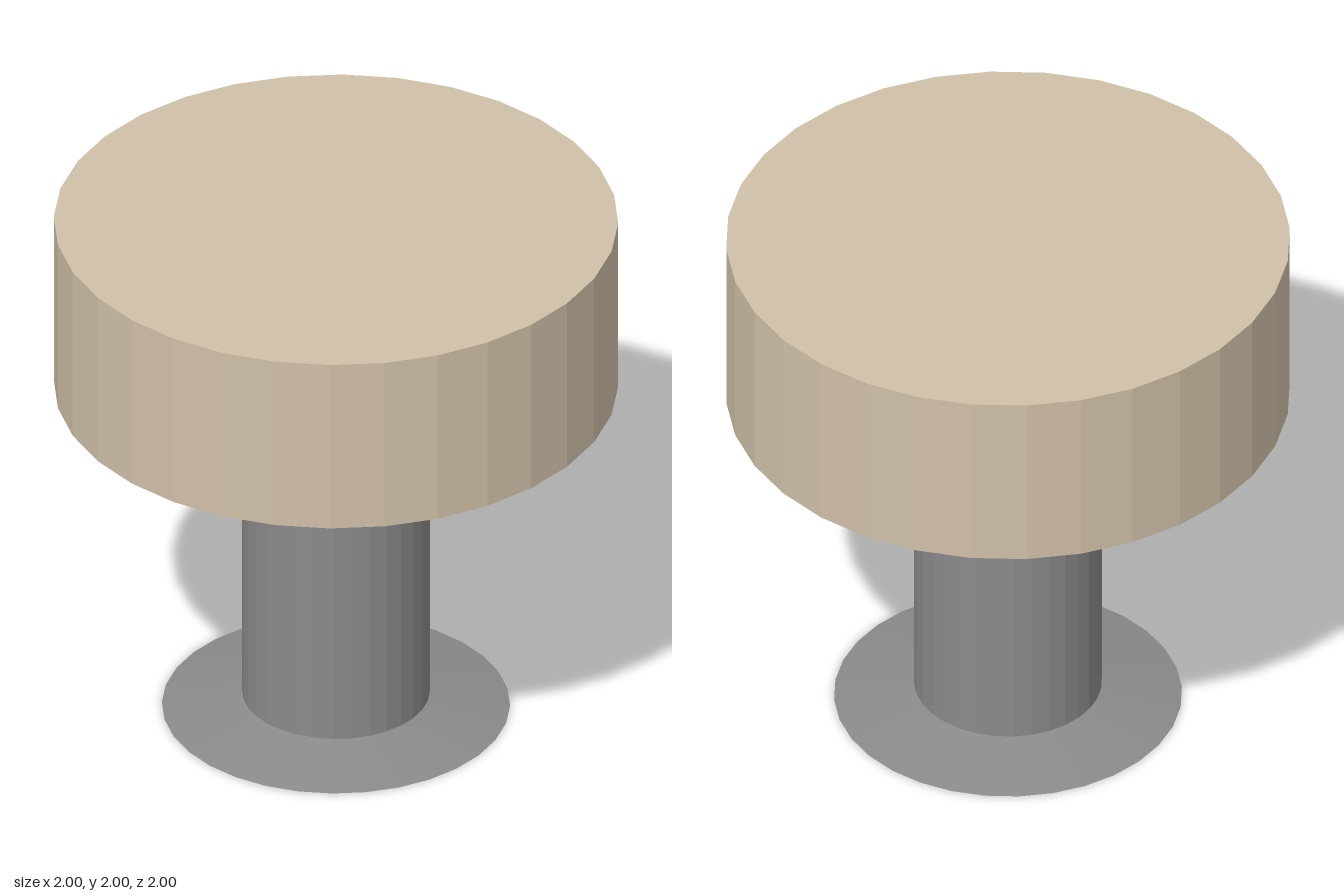
import * as THREE from 'three';

const SIDES = 32;

// Faceted solid of revolution from [radius, height] pairs, bottom to top
function turned(name, profile, color) {
  const points = profile.map(([r, y]) => new THREE.Vector2(r, y));
  const material = new THREE.MeshStandardMaterial({ color, flatShading: true });
  const mesh = new THREE.Mesh(new THREE.LatheGeometry(points, SIDES), material);
  mesh.name = name;
  return mesh;
}

export function createModel() {
  const group = new THREE.Group();
  group.name = 'pedestalStool';

  // Thick round cushion with a slightly conical underside
  group.add(turned('seat', [[0, 1.3], [0.333, 1.31], [1, 1.325], [1, 2], [0, 2]], 0xd0c0a8));

  // Round column
  group.add(turned('column', [[0.333, 0.055], [0.333, 1.31]], 0x8a8a8a));

  // Shallow conical foot, closed underneath
  group.add(turned('foot', [[0, 0], [0.617, 0], [0.333, 0.055]], 0x8a8a8a));

  return group;
}
